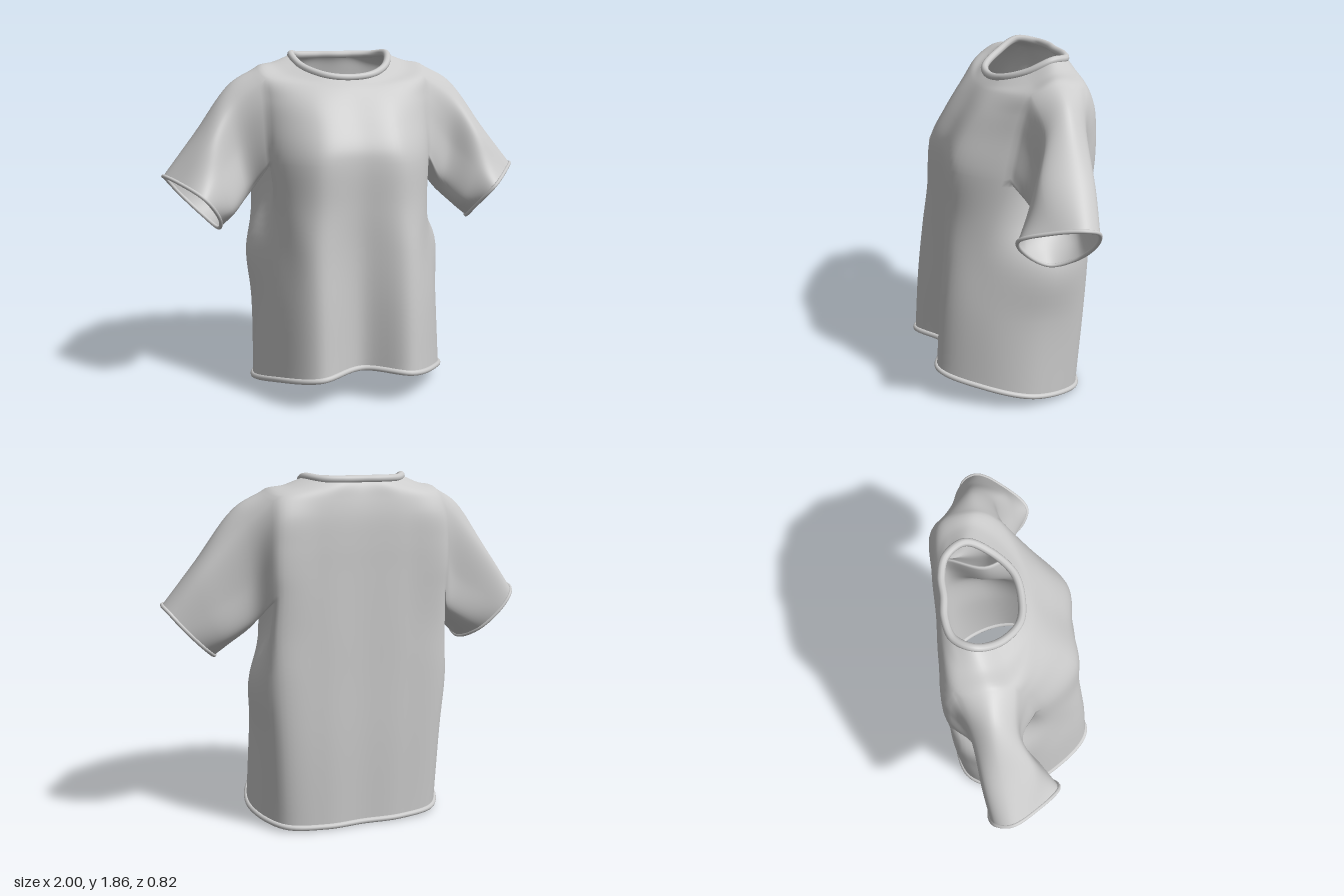
import * as THREE from 'three';

const C = 8, R = 6;            // grid steps per control segment, around and upward
const COLS = 12 * C;
const V = (x, y, z) => new THREE.Vector3(x, y, z);
const { lerp } = THREE.MathUtils;

// Torso sections from hem to neckline:
// y front, side, back | centre z | lobe x, z | front corner x, z | side x, z | back corner x, z | back z
const SECTIONS = [
  [0.18, 0.065, 0.015, 0.28, 0.25, 0.39, 0.45, 0.19, 0.535, -0.07, 0.43, -0.34, -0.4],
  [0.53, 0.5, 0.45, 0.28, 0.25, 0.365, 0.43, 0.18, 0.525, -0.1, 0.455, -0.36, -0.41],
  [0.83, 0.8, 0.8, 0.28, 0.25, 0.33, 0.4, 0.17, 0.54, -0.15, 0.475, -0.37, -0.41],
  [1.06, 1.04, 1.04, 0.285, 0.24, 0.3, 0.41, 0.12, 0.425, -0.14, 0.48, -0.365, -0.41],
  [1.29, 1.27, 1.23, 0.285, 0.24, 0.285, 0.44, 0.05, 0.39, -0.14, 0.47, -0.38, -0.41],
  [1.37, 1.37, 1.37, 0.27, 0.23, 0.265, 0.445, 0.035, 0.43, -0.15, 0.475, -0.39, -0.41],
  [1.49, 1.49, 1.5, 0.205, 0.22, 0.2, 0.445, 0.01, 0.47, -0.16, 0.475, -0.39, -0.41],
  [1.6, 1.63, 1.64, 0.13, 0.22, 0.12, 0.445, -0.02, 0.5, -0.17, 0.465, -0.38, -0.405],
  [1.665, 1.77, 1.735, 0.08, 0.2, 0.055, 0.44, -0.06, 0.47, -0.18, 0.44, -0.34, -0.39],
  [1.69, 1.795, 1.79, 0.055, 0.17, 0.025, 0.33, -0.09, 0.37, -0.2, 0.33, -0.31, -0.375],
  [1.72, 1.835, 1.825, 0.018, 0.13, -0.005, 0.235, -0.11, 0.27, -0.23, 0.21, -0.325, -0.355],
];

// Sleeve rings from shoulder to cuff; each runs from the underarm round the back,
// over the top and down the front
const SLEEVE = [
  [[0.55, 1.07, -0.12], [0.56, 1.1, -0.25], [0.57, 1.32, -0.28], [0.6, 1.6, -0.28],
    [0.62, 1.685, -0.18], [0.62, 1.59, -0.07], [0.59, 1.35, -0.045], [0.55, 1.13, -0.04]],
  [[0.64, 0.98, -0.09], [0.69, 1.02, -0.22], [0.78, 1.18, -0.255], [0.82, 1.37, -0.24],
    [0.82, 1.42, -0.15], [0.77, 1.38, 0], [0.71, 1.22, 0.05], [0.645, 1.03, 0.03]],
  [[0.71, 0.92, -0.07], [0.78, 0.97, -0.19], [0.9, 1.09, -0.235], [0.97, 1.175, -0.21],
    [0.99, 1.205, -0.13], [0.92, 1.185, 0], [0.8, 1.115, 0.13], [0.72, 1.0, 0.06]],
];

const curve = (pts, closed) => new THREE.CatmullRomCurve3(pts, closed, 'centripetal');

// Twelve control points round one section, the right half mirrored
function sectionPoints([yf, ys, yb, zc, lx, zl, fx, fz, w, zm, bx, bz, zb]) {
  const half = [
    V(0, yf, zc), V(lx, lerp(yf, ys, 0.12), zl), V(fx, lerp(yf, ys, 0.5), fz), V(w, ys, zm),
    V(bx, lerp(yb, ys, 0.2), bz), V(bx * 0.5, yb, zb), V(0, yb, zb + 0.005),
  ];
  return [...half, ...half.slice(1, 6).reverse().map(p => V(-p.x, p.y, p.z))];
}

// Torso and both sleeves as one continuous cloth surface
function makeCloth() {
  const positions = [], index = [], point = [];
  const add = p => { positions.push(p.x, p.y, p.z); return point.push(p) - 1; };
  const quad = (a, b, c, d, flip) =>
    flip ? index.push(a, c, b, a, d, c) : index.push(a, b, c, a, c, d);

  const sections = SECTIONS.map(sectionPoints);
  const rails = sections[0].map((_, j) => curve(sections.map(s => s[j]), false));
  const rows = (SECTIONS.length - 1) * R;
  const grid = [];
  for (let r = 0; r <= rows; r++) {
    const loop = curve(rails.map(k => k.getPoint(r / rows)), true);
    grid.push(Array.from({ length: COLS }, (_, c) => add(loop.getPoint(c / COLS))));
  }

  // Torso faces, leaving an armhole on each side
  const r0 = 4 * R, r1 = 8 * R, c0 = 2 * C, c1 = 4 * C;
  for (let r = 0; r < rows; r++) for (let c = 0; c < COLS; c++) {
    const side = c < COLS / 2 ? c : COLS - 1 - c;
    if (r >= r0 && r < r1 && side >= c0 && side < c1) continue;
    const n = (c + 1) % COLS;
    quad(grid[r][c], grid[r][n], grid[r + 1][n], grid[r + 1][c]);
  }

  // Walk round the armhole, pairing each vertex with a position on the sleeve rings
  const h = (r1 - r0) / 2;
  const walk = [[C, 0, 1], [h, 1, 0], [h, 1, 0], [C, 0, -1], [C, 0, -1], [h, -1, 0], [h, -1, 0], [C, 0, 1]];
  const rim = [];
  let r = r0, c = 3 * C;
  walk.forEach(([n, dr, dc], k) => {
    for (let i = 0; i < n; i++, r += dr, c += dc) rim.push({ r, c, t: (k + i / n) / 8 });
  });

  const cuffs = [1, -1].map(s => {
    const rings = SLEEVE.map(list => curve(list.map(([x, y, z]) => V(s * x, y, z)), true));
    const STEPS = 21;
    let prev = rim.map(p => grid[p.r][s > 0 ? p.c : COLS - p.c]);
    const strands = rim.map((p, i) =>
      curve([point[prev[i]], ...rings.map(ring => ring.getPoint(p.t))], false));
    for (let k = 1; k <= STEPS; k++) {
      const next = strands.map(st => add(st.getPoint(k / STEPS)));
      next.forEach((_, i) => {
        const j = (i + 1) % next.length;
        quad(prev[i], prev[j], next[j], next[i], s < 0);
      });
      prev = next;
    }
    return rings.at(-1);
  });

  const geometry = new THREE.BufferGeometry();
  geometry.setAttribute('position', new THREE.Float32BufferAttribute(positions, 3));
  geometry.setIndex(index);
  geometry.computeVertexNormals();
  return { geometry, cuffs, hem: curve(sections[0], true), neck: curve(sections.at(-1), true) };
}

export function createModel() {
  const group = new THREE.Group();
  group.name = 'shirt';
  const material = new THREE.MeshStandardMaterial({ color: 0xcccccc, side: THREE.DoubleSide });
  const addMesh = (name, geometry) => {
    const mesh = new THREE.Mesh(geometry, material);
    mesh.name = name;
    group.add(mesh);
  };
  const { geometry, cuffs, hem, neck } = makeCloth();
  addMesh('bodyAndSleeves', geometry);

  // Rolled edges
  const trim = (name, path, radius) =>
    addMesh(name, new THREE.TubeGeometry(path, 128, radius, 10, true));
  trim('bottomHem', hem, 0.015);
  trim('collar', neck, 0.02);
  trim('leftCuff', cuffs[0], 0.01);
  trim('rightCuff', cuffs[1], 0.01);
  return group;
}
